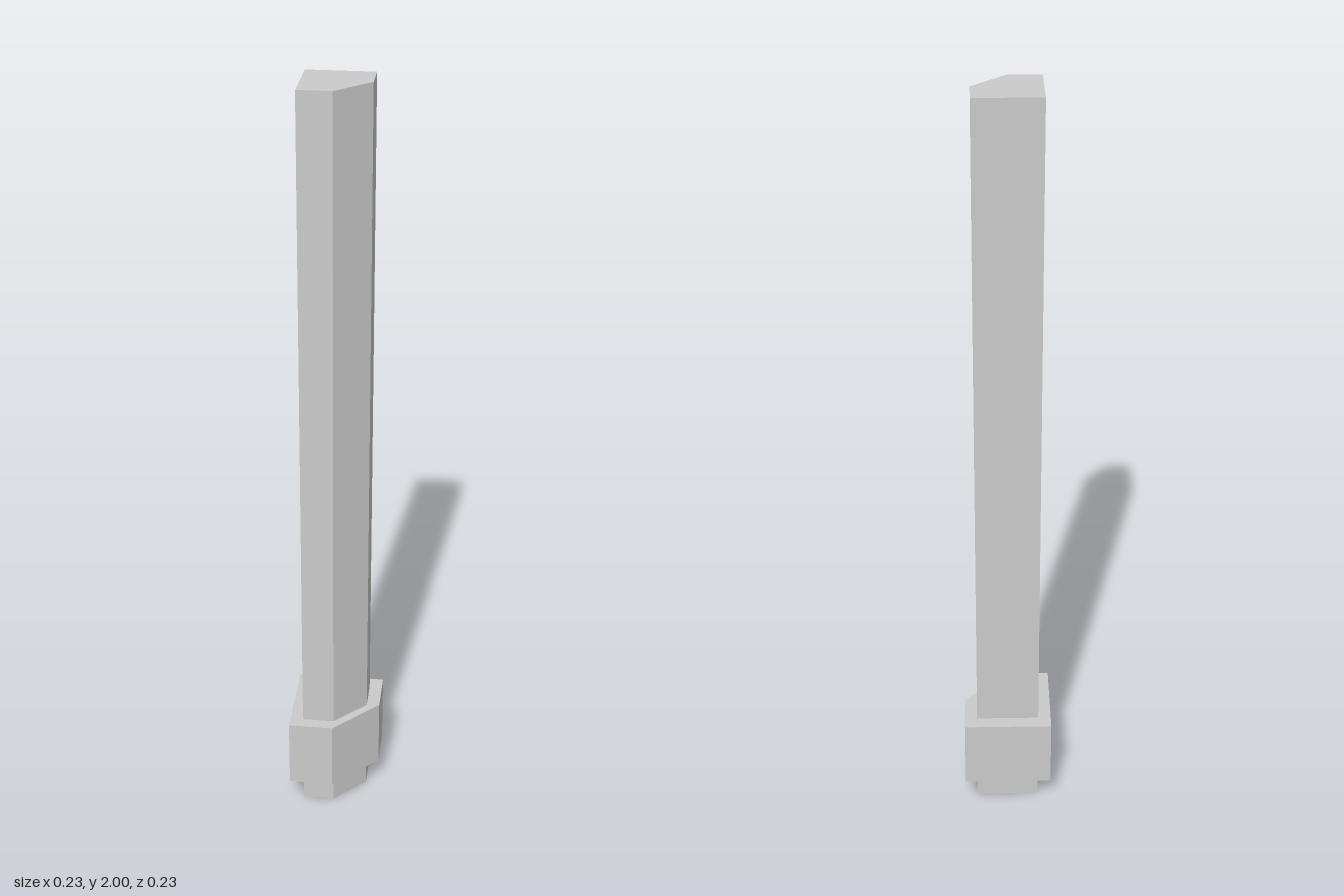
import * as THREE from 'three';

// Square with its front left corner cut off, as [x, z] points
const outline = (h, dz) => [[-h, -h + dz], [h, -h + dz], [h, dz], [0, h + dz], [-h, h + dz]];

// Upright prism between two heights; the lower end can be left open
function prism(name, points, y0, y1, openBottom) {
  const pos = [];
  const n = points.length;
  const tri = (...corners) => corners.forEach(([p, y]) => pos.push(p[0], y, p[1]));
  for (let i = 0; i < n; i++) {
    const a = points[i], b = points[(i + 1) % n];
    tri([a, y0], [a, y1], [b, y1]);
    tri([a, y0], [b, y1], [b, y0]);
  }
  for (let i = 1; i < n - 1; i++) {
    const [a, b, c] = [points[0], points[i], points[i + 1]];
    tri([a, y1], [c, y1], [b, y1]);
    if (!openBottom) tri([a, y0], [b, y0], [c, y0]);
  }
  const geometry = new THREE.BufferGeometry();
  geometry.setAttribute('position', new THREE.Float32BufferAttribute(pos, 3));
  geometry.computeVertexNormals();
  const material = new THREE.MeshStandardMaterial({
    color: 0xcccccc,
    flatShading: true,
    side: openBottom ? THREE.DoubleSide : THREE.FrontSide,
  });
  const mesh = new THREE.Mesh(geometry, material);
  mesh.name = name;
  return mesh;
}

export function createModel() {
  const group = new THREE.Group();
  group.name = 'post';
  // Tall shaft, a thin shell open underneath
  group.add(prism('shaft', outline(0.083, 0.003), 0, 2, true));
  // Solid collar around the foot
  group.add(prism('collar', outline(0.117, 0), 0.078, 0.27, false));
  return group;
}
